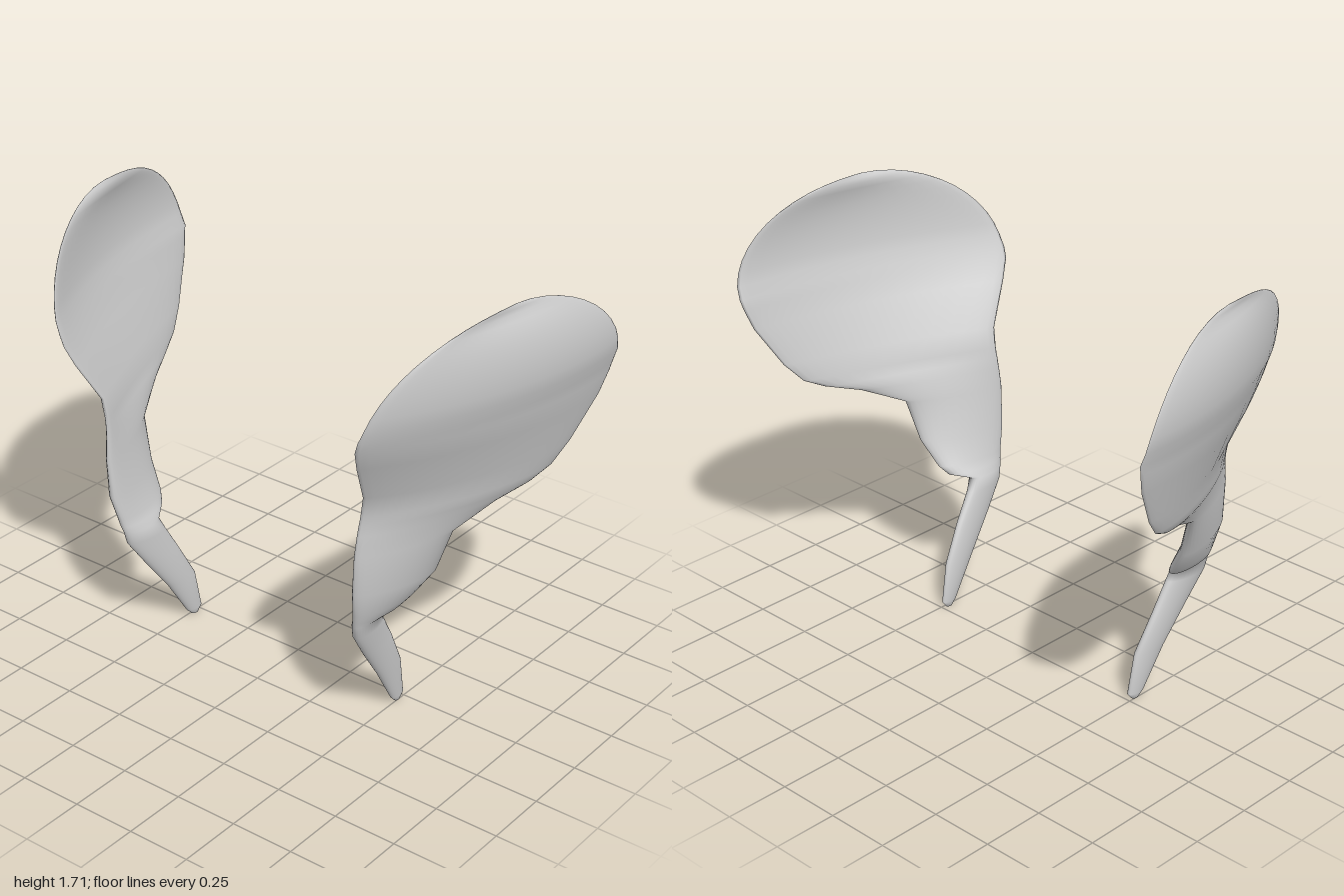
import * as THREE from 'three';

// Stem and lower blade, from the tip up:
// [y, front x, front z, back x, back z, half thickness]
const BODY = [
  [0.005, 0.495, 0.05, 0.49, 0.02, 0.01],
  [0.03, 0.497, 0.075, 0.49, 0, 0.017],
  [0.19, 0.505, 0.175, 0.495, 0.03, 0.027],
  [0.34, 0.52, 0.285, 0.51, 0.11, 0.029],
  [0.45, 0.535, 0.36, 0.515, 0.175, 0.034],
  [0.5, 0.54, 0.37, 0.525, 0.198, 0.036],
  [0.525, 0.543, 0.378, 0.575, 0.125, 0.04],
  [0.56, 0.548, 0.385, 0.605, 0.1, 0.043],
  [0.66, 0.56, 0.41, 0.675, 0.072, 0.045],
  [0.82, 0.568, 0.415, 0.725, 0.045, 0.035],
  [0.9, 0.572, 0.406, 0.8, -0.12, 0.032],
  [0.94, 0.576, 0.402, 0.855, -0.25, 0.031],
  [0.98, 0.582, 0.4, 0.885, -0.33, 0.03],
  [1.06, 0.595, 0.405, 0.915, -0.4, 0.029],
  [1.22, 0.633, 0.495, 0.962, -0.495, 0.027],
  [1.3, 0.65, 0.53, 0.98, -0.523, 0.025],
];
const CREST_STEPS = 12;
const AROUND = 32;

// Rounded crest: sections shrink along a half ellipse up to the top edge
function crestSection(i) {
  const t = (i / CREST_STEPS) * Math.PI * 0.49;
  const s = Math.sin(t), c = Math.cos(t);
  const midX = 0.825 + 0.08 * s ** 0.7;
  const halfX = 0.162 * c ** 1.4;
  const halfZ = 0.534 * c;
  return [1.34 + 0.38 * s, midX - halfX, halfZ, midX + halfX, -halfZ, 0.024 * c];
}

// Lofts one curved blade with its stem; side is +1 (left) or -1 (right)
function bladeGeometry(side) {
  const sections = [...BODY];
  for (let i = 0; i <= CREST_STEPS; i++) sections.push(crestSection(i));

  const pos = [], index = [];
  const face = (a, b, c) => (side > 0 ? index.push(a, b, c) : index.push(a, c, b));

  for (const [y, fx, fz, bx, bz, half] of sections) {
    const dx = (fx - bx) / 2, dz = (fz - bz) / 2;
    const len = Math.hypot(dx, dz);
    // The wider the blade, the more it bows outward
    const bulge = Math.max(0, 0.126 * (2 * dz - 0.45));
    for (let j = 0; j < AROUND; j++) {
      const a = (j / AROUND) * Math.PI * 2;
      const u = Math.cos(a);
      const off = half * Math.sin(a) + bulge * (1 - u * u);
      const x = (fx + bx) / 2 + dx * u + (dz / len) * off;
      const z = (fz + bz) / 2 + dz * u - (dx / len) * off;
      pos.push(side * x, y, z);
    }
  }

  // Skin between neighbouring sections
  const last = (sections.length - 1) * AROUND;
  for (let i = 0; i < last; i += AROUND) {
    for (let j = 0; j < AROUND; j++) {
      const k = (j + 1) % AROUND;
      face(i + j, i + k, i + AROUND + k);
      face(i + j, i + AROUND + k, i + AROUND + j);
    }
  }

  // Close the tip and the crest
  for (let j = 1; j < AROUND - 1; j++) {
    face(0, j + 1, j);
    face(last, last + j, last + j + 1);
  }

  const geo = new THREE.BufferGeometry();
  geo.setAttribute('position', new THREE.Float32BufferAttribute(pos, 3));
  geo.setIndex(index);
  geo.computeVertexNormals();
  return geo;
}

export function createModel() {
  const group = new THREE.Group();
  group.name = 'pairedBlades';
  const material = new THREE.MeshStandardMaterial({ color: 0xcccccc });
  for (const side of [1, -1]) {
    const mesh = new THREE.Mesh(bladeGeometry(side), material);
    mesh.name = side > 0 ? 'leftBlade' : 'rightBlade';
    group.add(mesh);
  }
  return group;
}
